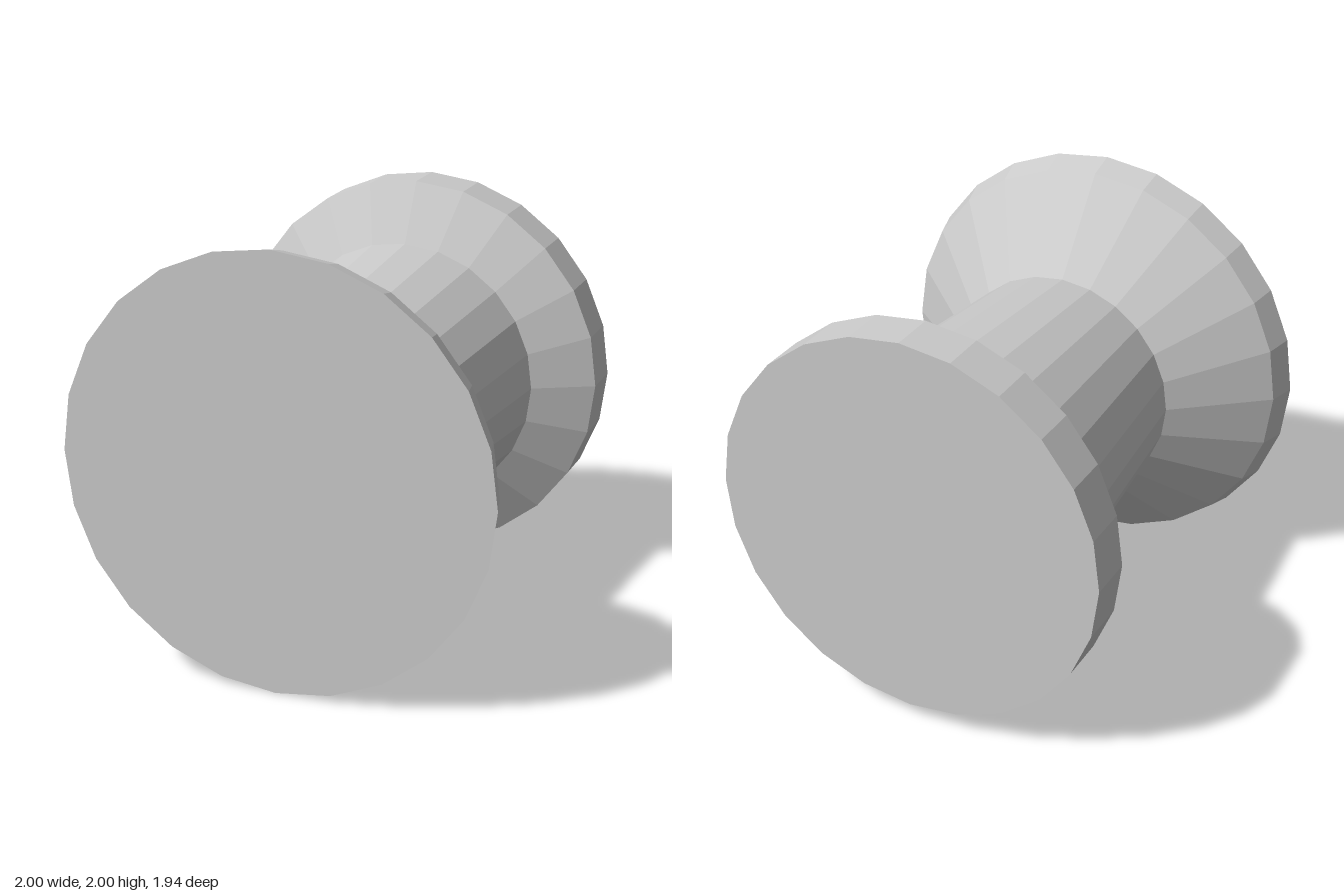
import * as THREE from 'three';

export function createModel() {
  const group = new THREE.Group();
  group.name = 'flaredKnob';

  // Profile as [radius, z], from the back face to the front face
  const profile = [
    [0, -0.97], [0.925, -0.97], [0.925, -0.75], // back rim
    [0.65, -0.6], [0.555, 0.51],                // tapered shaft
    [0.965, 0.84], [1, 0.97], [0, 0.97],        // flared front disc
  ].map(([r, z]) => new THREE.Vector2(r, z));

  // Turn the profile in 24 facets and lay its axis along z
  const geometry = new THREE.LatheGeometry(profile, 24);
  geometry.rotateX(Math.PI / 2);
  geometry.translate(0, 1, 0);

  const knob = new THREE.Mesh(
    geometry,
    new THREE.MeshStandardMaterial({ color: 0xcccccc, flatShading: true })
  );
  knob.name = 'knobBody';
  group.add(knob);
  return group;
}
